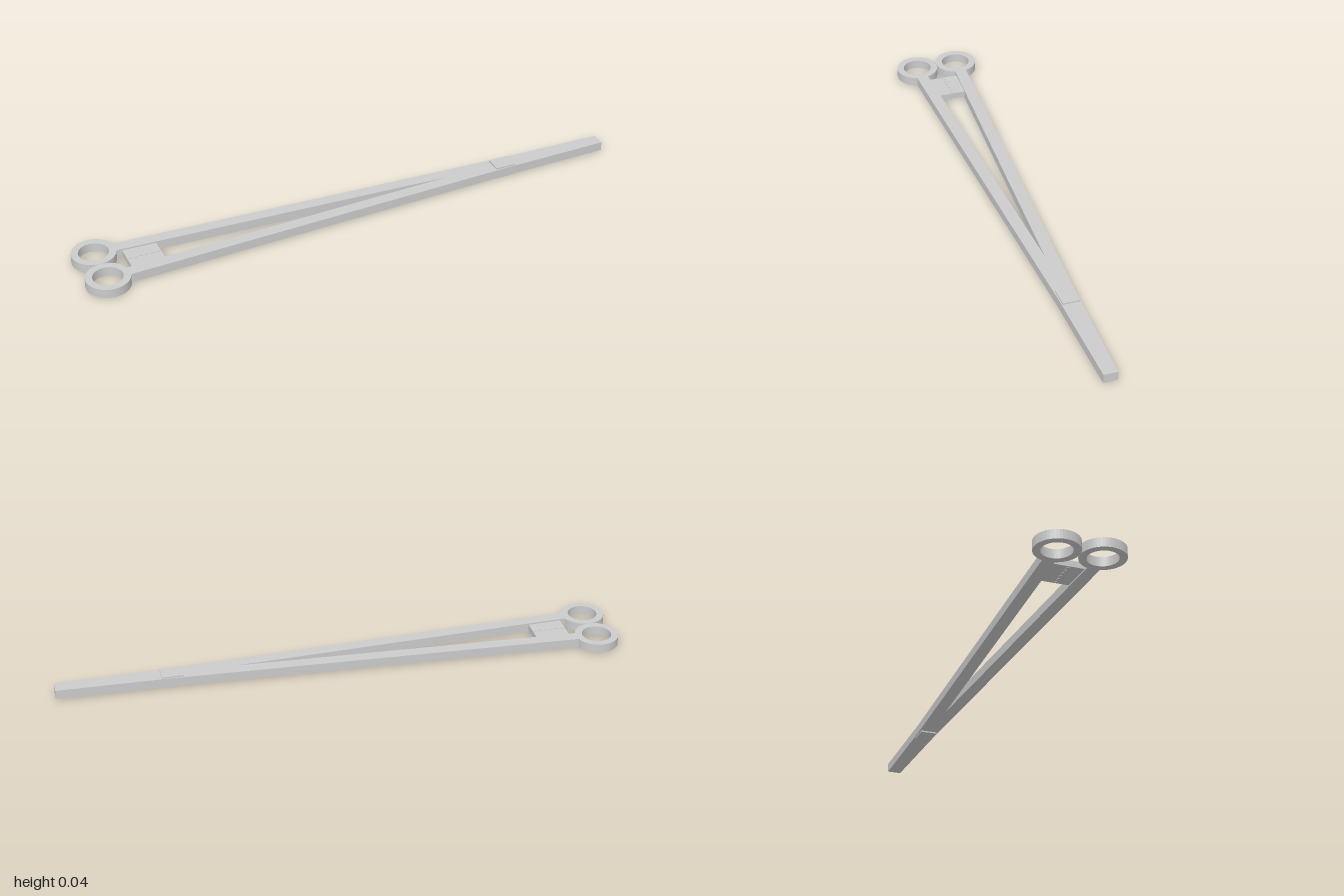
import * as THREE from 'three';

const steel = new THREE.MeshStandardMaterial({ color: 0xcccccc, side: THREE.DoubleSide });
const MID = 0.0215; // height of the instrument's mid plane

// Extrudes an outline drawn in (x, z) into a flat plate centred on the mid plane
function plate(name, shape, thickness, curveSegments = 12) {
  const geometry = new THREE.ExtrudeGeometry(shape, { depth: thickness, bevelEnabled: false, curveSegments });
  geometry.rotateX(-Math.PI / 2);
  geometry.translate(0, MID - thickness / 2, 0);
  const mesh = new THREE.Mesh(geometry, steel);
  mesh.name = name;
  return mesh;
}

const outline = (points) => new THREE.Shape(points.map(([x, z]) => new THREE.Vector2(x, z)));

function block(name, size, position) {
  const mesh = new THREE.Mesh(new THREE.BoxGeometry(...size), steel);
  mesh.name = name;
  mesh.position.set(...position);
  return mesh;
}

// Mirrors an outline across the centre line
const mirror = (points, side) => points.map(([x, z]) => [x, z * side]);

export function createModel() {
  const group = new THREE.Group();
  group.name = 'lockingForceps';
  const thick = 0.033;

  for (const side of [1, -1]) {
    const label = side > 0 ? 'back' : 'front';

    // Finger ring
    const ring = new THREE.Shape().absarc(-0.923, 0.077 * side, 0.077, 0, Math.PI * 2);
    ring.holes.push(new THREE.Path().absarc(-0.923, 0.077 * side, 0.052, 0, Math.PI * 2, true));
    group.add(plate(label + 'FingerRing', ring, thick, 24));

    // Long shank running from the ring to the box joint
    const shank = [[-0.855, 0.098], [-0.855, 0.055], [0.37, 0], [0.6, 0], [0.6, 0.034]];
    group.add(plate(label + 'Shank', outline(mirror(shank, side)), thick));

    // Tapering jaw, closed against its partner
    const jaw = [[0.6, 0], [1, 0], [1, 0.025], [0.6, 0.034]];
    group.add(plate(label + 'Jaw', outline(mirror(jaw, side)), thick));

    // Ratchet arm reaching inwards from the shank
    const arm = [[-0.83, 0], [-0.71, 0], [-0.71, 0.053], [-0.83, 0.055]];
    group.add(plate(label + 'RatchetArm', outline(mirror(arm, side)), 0.022));
  }

  // Ratchet teeth along the meeting line of the arms
  for (let i = 0; i < 6; i++) {
    group.add(block('ratchetTooth', [0.01, 0.026, 0.008], [-0.82 + i * 0.02, MID, 0]));
  }

  // Raised box joint
  group.add(block('boxJoint', [0.075, 0.043, 0.06], [0.5975, MID, 0]));

  return group;
}
